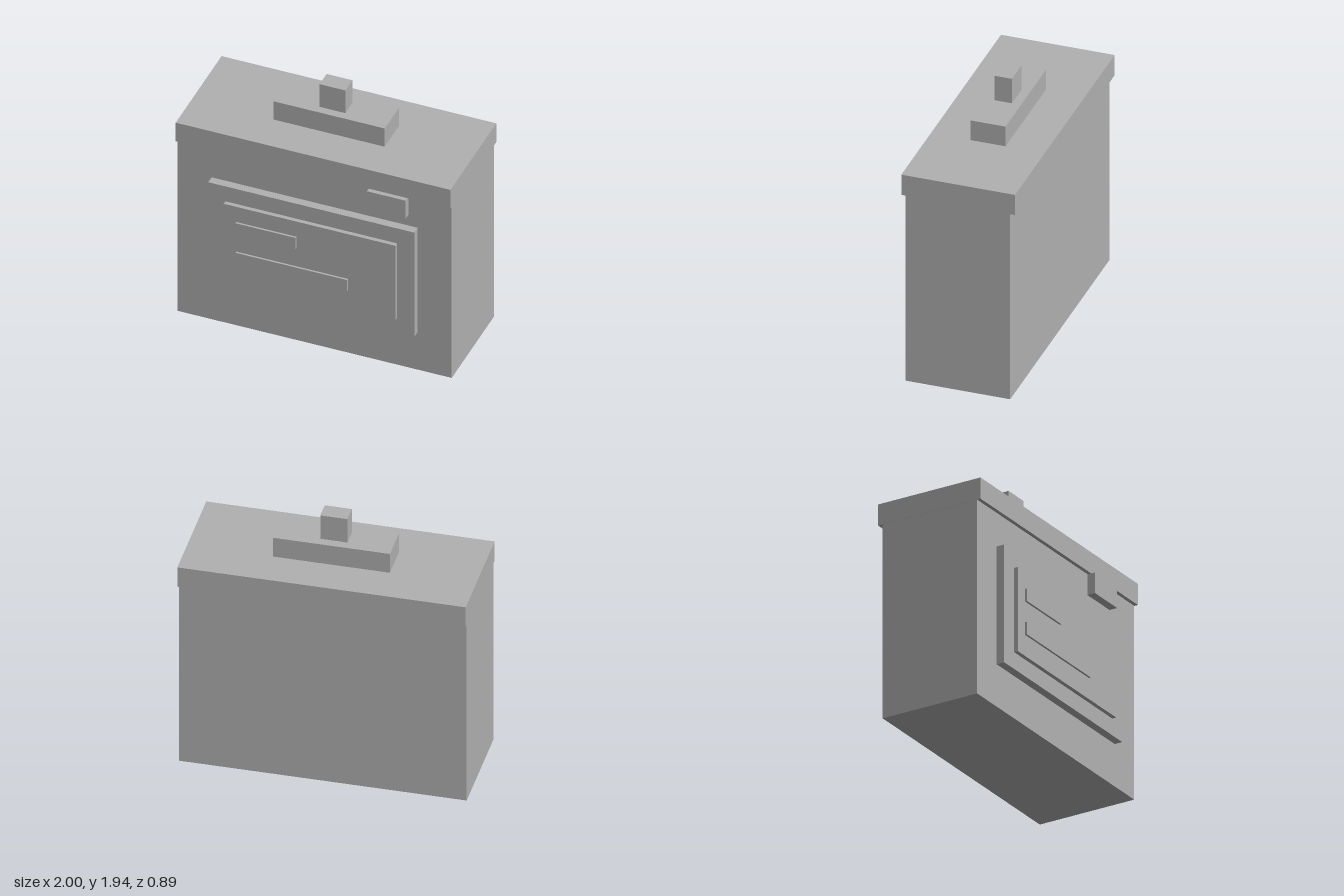
import * as THREE from 'three';

export function createModel() {
  const model = new THREE.Group();
  const grey = new THREE.MeshStandardMaterial({ color: 0xb0b0b0 });
  grey.name = 'grey';

  // Adds a box given by its extents along each axis
  const block = (name, [x0, x1], [y0, y1], [z0, z1]) => {
    const mesh = new THREE.Mesh(new THREE.BoxGeometry(x1 - x0, y1 - y0, z1 - z0), grey);
    mesh.position.set((x0 + x1) / 2, (y0 + y1) / 2, (z0 + z1) / 2);
    mesh.name = name;
    model.add(mesh);
  };

  // Case and overhanging lid
  block('body', [-0.998, 0.998], [0, 1.44], [-0.41, 0.34]);
  block('lid', [-1, 1], [1.44, 1.597], [-0.445, 0.368]);

  // Stepped cap on the lid
  block('capBase', [-0.405, 0.405], [1.597, 1.75], [-0.165, 0.085]);
  block('capKnob', [-0.094, 0.094], [1.75, 1.94], [-0.1, 0.025]);

  // Front catch under the lid
  block('catch', [0.405, 0.685], [1.285, 1.44], [0.34, 0.4]);

  // Layered front plate with two raised bars
  block('frontFrame', [-0.75, 0.75], [0.315, 1.19], [0.34, 0.4]);
  block('frontPanel', [-0.625, 0.625], [0.44, 1.065], [0.4, 0.43]);
  block('upperBar', [-0.533, -0.095], [0.845, 0.938], [0.43, 0.445]);
  block('lowerBar', [-0.533, 0.28], [0.597, 0.69], [0.43, 0.445]);

  return model;
}
